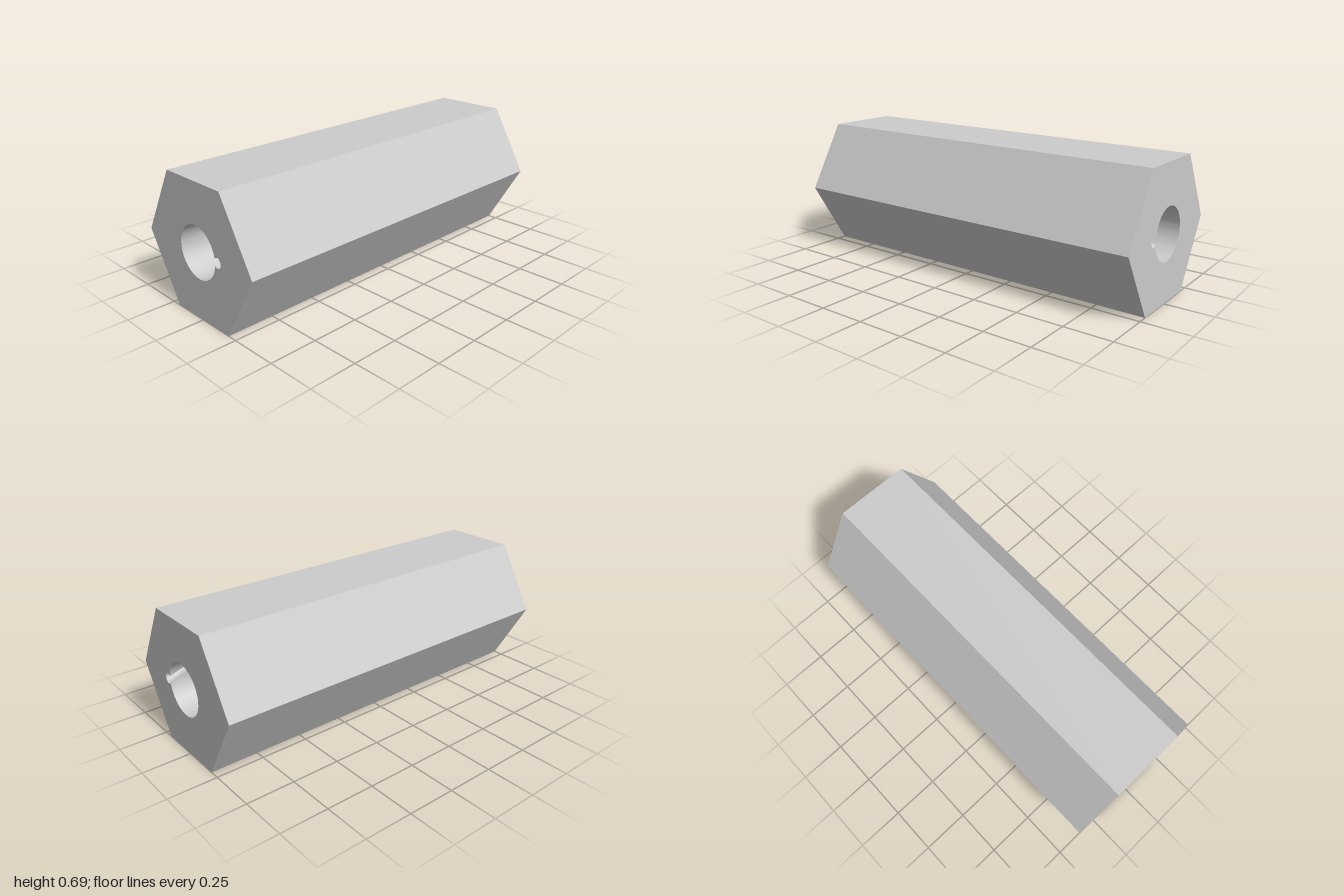
import * as THREE from 'three';
import { toCreasedNormals } from 'three/addons/utils/BufferGeometryUtils.js';

const HEX = 0.4, LENGTH = 2, BORE = 0.134;      // outer corner radius, length, bore radius
const GROOVE_X = 0.151, GROOVE_R = 0.027;       // round keyway cutting into the bore
const TWIST = Math.PI * 2, SLICES = 96;         // the keyway makes one full turn

// Bore outline with the keyway on +x, counter-clockwise, closed
function boreProfile() {
  const a = Math.acos((BORE ** 2 + GROOVE_X ** 2 - GROOVE_R ** 2) / (2 * BORE * GROOVE_X));
  const g = Math.atan2(BORE * Math.sin(a), BORE * Math.cos(a) - GROOVE_X);
  const points = [];
  for (let i = 0; i < 12; i++) {
    const t = -g + (2 * g * i) / 12;
    points.push(new THREE.Vector2(GROOVE_X + GROOVE_R * Math.cos(t), GROOVE_R * Math.sin(t)));
  }
  for (let i = 0; i <= 72; i++) {
    const t = a + ((Math.PI * 2 - 2 * a) * i) / 72;
    points.push(new THREE.Vector2(BORE * Math.cos(t), BORE * Math.sin(t)));
  }
  return points;
}

// Sweep the outline along z while turning it; faces look inward
function twistedBore(profile) {
  const n = profile.length - 1;
  const geo = new THREE.PlaneGeometry(1, 1, n, SLICES);
  const pos = geo.attributes.position;
  for (let j = 0; j <= SLICES; j++) {
    const turn = (TWIST * j) / SLICES, c = Math.cos(turn), s = Math.sin(turn);
    for (let i = 0; i <= n; i++) {
      const { x, y } = profile[i];
      pos.setXYZ(j * (n + 1) + i, x * c - y * s, x * s + y * c, -LENGTH / 2 + (LENGTH * j) / SLICES);
    }
  }
  return toCreasedNormals(geo, 0.3);
}

export function createModel() {
  const group = new THREE.Group();
  group.name = 'hexRodWithSpiralKeyway';
  const material = new THREE.MeshStandardMaterial({ color: 0xcccccc });
  const flat = new THREE.MeshStandardMaterial({ color: 0xcccccc, flatShading: true });
  const add = (name, geometry, mat) => {
    const mesh = new THREE.Mesh(geometry, mat);
    mesh.name = name;
    group.add(mesh);
    return mesh;
  };

  // Six outer sides, corners on +x and -x
  const sides = new THREE.CylinderGeometry(HEX, HEX, LENGTH, 6, 1, true, Math.PI / 6);
  add('hexSides', sides.rotateX(Math.PI / 2), flat);

  // Bore with spiral keyway
  const profile = boreProfile();
  add('boreWithSpiralKeyway', twistedBore(profile), material);

  // End faces with the bore cut out
  const corners = [];
  for (let i = 0; i < 6; i++) {
    const t = (i * Math.PI) / 3;
    corners.push(new THREE.Vector2(HEX * Math.cos(t), HEX * Math.sin(t)));
  }
  const face = new THREE.Shape(corners);
  face.holes.push(new THREE.Path(profile.slice(0, -1).concat(profile[0])));
  const end = new THREE.ShapeGeometry(face);
  add('frontEnd', end, flat).position.z = LENGTH / 2;
  // the outline is symmetric top to bottom, so a half turn about x gives the back
  const back = add('backEnd', end, flat);
  back.rotation.x = Math.PI;
  back.position.z = -LENGTH / 2;

  group.position.y = (HEX * Math.sqrt(3)) / 2;
  return group;
}
